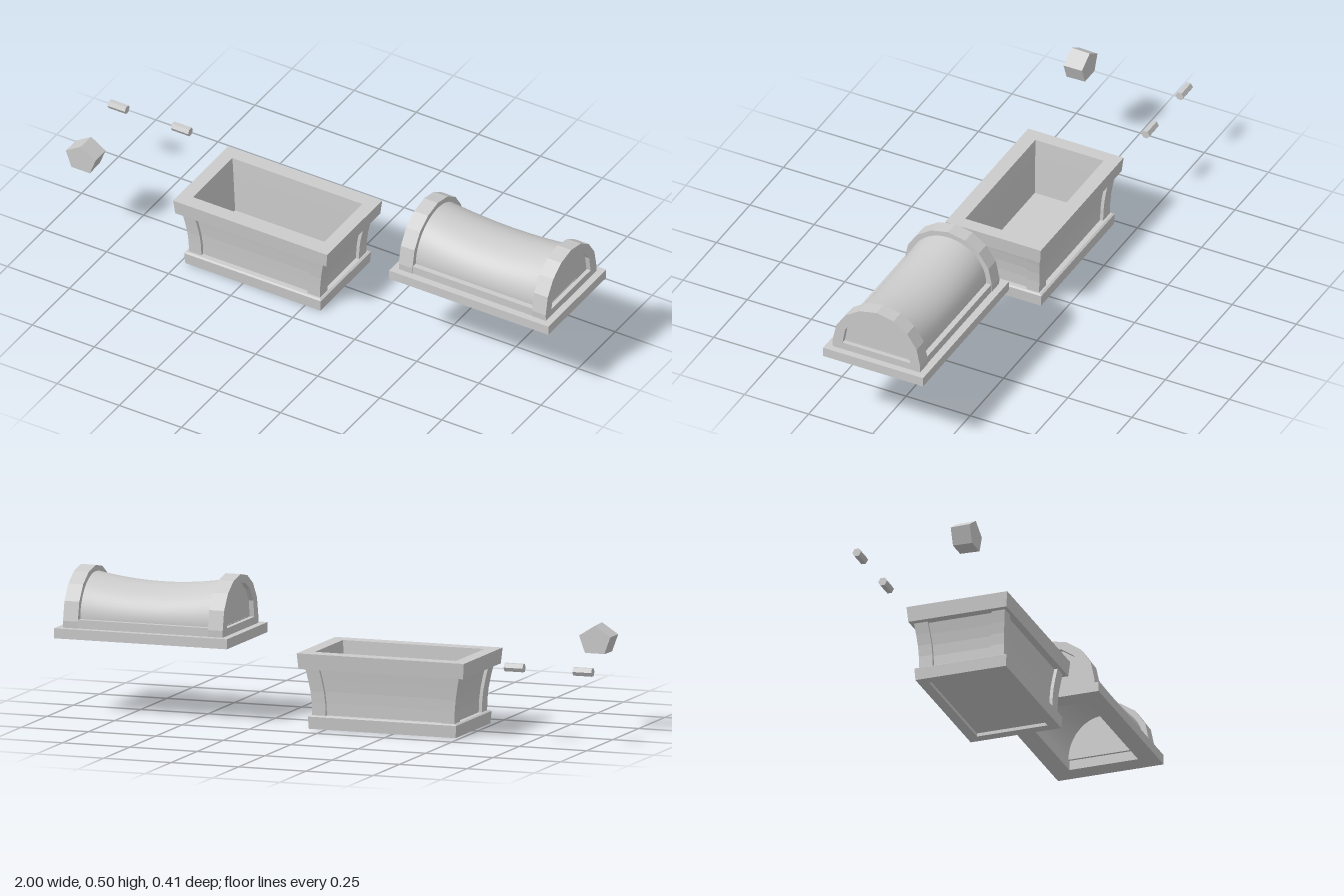
import * as THREE from 'three';
import { ParametricGeometry } from 'three/addons/geometries/ParametricGeometry.js';

const flat = new THREE.MeshStandardMaterial({ color: 0xcccccc, flatShading: true });
const smooth = new THREE.MeshStandardMaterial({ color: 0xcccccc, side: THREE.DoubleSide });

function add(parent, name, geometry, material = flat) {
  const mesh = new THREE.Mesh(geometry, material);
  mesh.name = name;
  parent.add(mesh);
  return mesh;
}

// Joins closed rings of [x, y, z] corners, listed counter-clockwise from above
function loft(rings) {
  const pos = [];
  for (let r = 0; r + 1 < rings.length; r++) {
    const a = rings[r], b = rings[r + 1], n = a.length;
    for (let i = 0; i < n; i++) {
      const j = (i + 1) % n;
      pos.push(...a[i], ...a[j], ...b[j], ...a[i], ...b[j], ...b[i]);
    }
  }
  const g = new THREE.BufferGeometry();
  g.setAttribute('position', new THREE.Float32BufferAttribute(pos, 3));
  g.computeVertexNormals();
  return g;
}

// Rectangular ring from half width, half depth and height
const rect = ([hx, hz, y]) => [[-hx, y, hz], [hx, y, hz], [hx, y, -hz], [-hx, y, -hz]];

// Rectangular ring whose four corner posts stand proud of the side panels
function postRing([hx, hz, y]) {
  const w = 0.05, d = 0.012;
  return [
    [-hx, y, hz], [-hx + w, y, hz], [-hx + w, y, hz - d],
    [hx - w, y, hz - d], [hx - w, y, hz], [hx, y, hz],
    [hx, y, hz - w], [hx - d, y, hz - w], [hx - d, y, -hz + w],
    [hx, y, -hz + w], [hx, y, -hz], [hx - w, y, -hz],
    [hx - w, y, -hz + d], [-hx + w, y, -hz + d], [-hx + w, y, -hz],
    [-hx, y, -hz], [-hx, y, -hz + w], [-hx + d, y, -hz + w],
    [-hx + d, y, hz - w], [-hx, y, hz - w],
  ];
}

// Symmetric arch outline from its right-hand points, bottom to crown
function archPoints(half) {
  const left = half.slice(0, -1).reverse().map(([x, y]) => [-x, y]);
  return [...half, ...left].map(([x, y]) => new THREE.Vector2(x, y));
}

// Half-round vault that sags towards the middle of its length
function vault(halfLength, radius, base, height) {
  return new ParametricGeometry((u, v, target) => {
    const t = 2 * u - 1, sag = 1 - 0.164 * (1 - t * t), a = v * Math.PI;
    target.set(t * halfLength, base + height * sag * Math.sin(a), radius * Math.cos(a));
  }, 16, 24);
}

function createBase() {
  const base = new THREE.Group();
  base.name = 'chestBase';
  // Plinth with a shallow recess underneath
  add(base, 'plinth', loft([
    [0, 0, 0.012], [0.235, 0.13, 0.012], [0.235, 0.13, 0], [0.272, 0.167, 0],
    [0.275, 0.17, 0.043], [0.268, 0.163, 0.047], [0, 0, 0.047],
  ].map(rect)));
  // Flared body with corner posts
  add(base, 'body', loft([
    [0.264, 0.156, 0.045], [0.265, 0.157, 0.09], [0.269, 0.159, 0.13],
    [0.276, 0.163, 0.17], [0.285, 0.168, 0.212],
  ].map(postRing)));
  // Rim and hollow interior
  add(base, 'rimAndInterior', loft([
    [0.26, 0.14, 0.21], [0.305, 0.181, 0.21], [0.31, 0.186, 0.265],
    [0.262, 0.133, 0.265], [0.257, 0.131, 0.2], [0.248, 0.128, 0.05], [0, 0, 0.05],
  ].map(rect)));
  return base;
}

function createLid() {
  const lid = new THREE.Group();
  lid.name = 'lid';
  // Open frames: flange and the sill above it
  const frame = (name, hx, hz, y0, y1) => add(lid, name, loft([
    [0.25, 0.127, y0], [hx, hz, y0], [hx, hz, y1], [0.25, 0.127, y1], [0.25, 0.127, y0],
  ].map(rect)));
  frame('flange', 0.321, 0.195, 0.265, 0.3);
  frame('sill', 0.28, 0.168, 0.3, 0.33);
  // Sagging barrel, outside and inside
  add(lid, 'barrel', vault(0.245, 0.148, 0.33, 0.146), smooth);
  add(lid, 'barrelLining', vault(0.25, 0.127, 0.3, 0.15), smooth);
  // End arches with recessed panels
  const outer = archPoints([[0.17, 0.3], [0.171, 0.324], [0.157, 0.392], [0.12, 0.447], [0.066, 0.483], [0, 0.497]]);
  const inner = archPoints([[0.132, 0.327], [0.122, 0.385], [0.092, 0.429], [0.05, 0.457], [0, 0.467]]);
  const wall = new THREE.Shape(outer);
  const border = new THREE.Shape(outer);
  border.holes.push(new THREE.Path(inner));
  const extrude = (shape, depth) => new THREE.ExtrudeGeometry(shape, { depth, bevelEnabled: false });
  for (const side of [1, -1]) {
    const end = new THREE.Group();
    end.name = side > 0 ? 'leftArch' : 'rightArch';
    end.rotation.y = side * Math.PI / 2;
    add(end, 'archPanel', extrude(wall, 0.038)).position.z = 0.241;
    add(end, 'archBorder', extrude(border, 0.017)).position.z = 0.279;
    lid.add(end);
  }
  return lid;
}

export function createModel() {
  const model = new THREE.Group();
  model.name = 'explodedChest';

  const base = createBase();
  base.position.x = -0.21;
  const lid = createLid();
  lid.position.x = 0.676;
  model.add(base, lid);

  // Five-sided lock, slightly narrower at the back
  const lock = new THREE.CylinderGeometry(0.063, 0.061, 0.071, 5);
  lock.rotateY(Math.PI).rotateX(Math.PI / 2).scale(1, 0.877, 1);
  add(model, 'lock', lock).position.set(-0.881, 0.317, 0.17);

  // Hexagonal hinge pins
  const pin = new THREE.CylinderGeometry(0.016, 0.016, 0.07, 6).rotateZ(Math.PI / 2);
  for (const x of [-0.965, -0.71]) add(model, 'hingePin', pin).position.set(x, 0.265, -0.19);

  return model;
}
